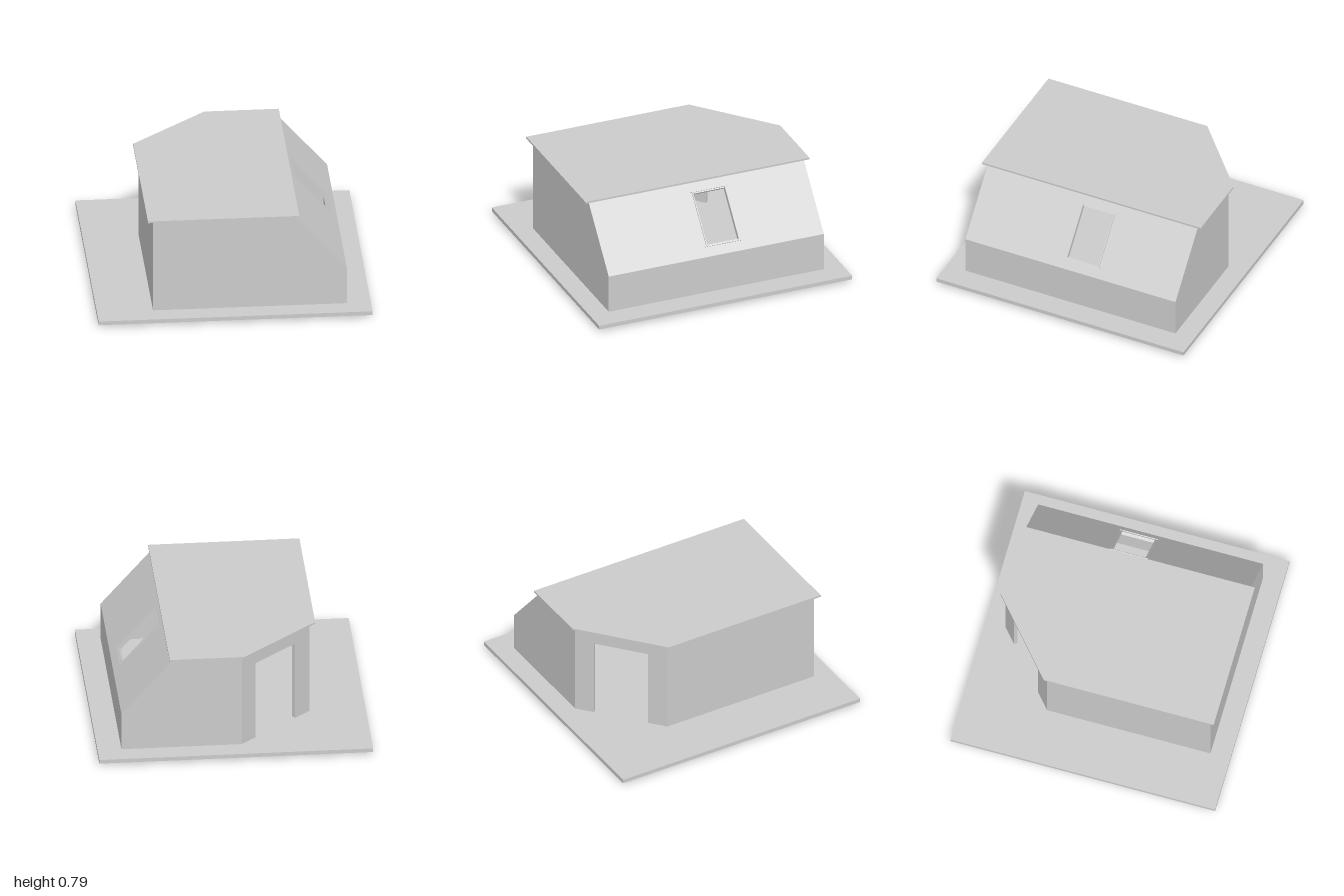
import * as THREE from 'three';

const T = 0.03;          // wall thickness
const H = 0.778;         // wall top
const mat = new THREE.MeshStandardMaterial({ color: 0xcccccc, flatShading: true, side: THREE.DoubleSide });

const outline = (pts) => pts.map(([x, y]) => new THREE.Vector2(x, y));

// Flat panel: outline in its own plane, outer face on the plane, thickness going inward.
function panel(name, pts, origin, right, up, depth = T, hole = null) {
  const shape = new THREE.Shape(outline(pts));
  if (hole) shape.holes.push(new THREE.Path(outline(hole)));
  const geo = new THREE.ExtrudeGeometry(shape, { depth, bevelEnabled: false });
  geo.translate(0, 0, -depth);
  const x = new THREE.Vector3(...right).normalize();
  const y = new THREE.Vector3(...up).normalize();
  const z = new THREE.Vector3().crossVectors(x, y);
  geo.applyMatrix4(new THREE.Matrix4().makeBasis(x, y, z).setPosition(...origin));
  const mesh = new THREE.Mesh(geo, mat);
  mesh.name = name;
  return mesh;
}

const rect = (x0, y0, x1, y1) => [[x0, y0], [x1, y0], [x1, y1], [x0, y1]];

export function createModel() {
  const model = new THREE.Group();
  model.name = 'house';
  const UP = [0, 1, 0];
  const W = -0.59, E = 0.825, Z = 0.85;       // outer wall lines
  const eave = 0.34, ridgeX = 0.443;          // bottom and top of the sloped side
  const cutX = -0.054, cutZ = -0.386;         // ends of the cut-off corner

  // Ground slab
  const slab = new THREE.Mesh(new THREE.BoxGeometry(2, 0.03, 2), mat);
  slab.position.y = 0.036;
  slab.name = 'groundSlab';
  model.add(slab);

  // Upright walls
  model.add(panel('frontWall', [[W, 0], [E, 0], [E, eave], [ridgeX, H], [W, H]], [0, 0, Z], [1, 0, 0], UP));
  model.add(panel('backWall', [[-E, 0], [-cutX, 0], [-cutX, H], [-ridgeX, H], [-E, eave]], [0, 0, -Z], [-1, 0, 0], UP));
  model.add(panel('longSideWall', rect(cutZ, 0, Z - T, H), [W, 0, 0], [0, 0, 1], UP));
  model.add(panel('lowSideWall', rect(-Z + T, 0, Z - T, eave), [E, 0, 0], [0, 0, -1], UP));

  // Corner wall with its doorway
  const len = Math.hypot(W - cutX, cutZ + Z);
  const d0 = 0.145, d1 = len - 0.15, doorTop = 0.665;
  model.add(panel('doorWall',
    [[0, 0], [d0, 0], [d0, doorTop], [d1, doorTop], [d1, 0], [len, 0], [len, H], [0, H]],
    [cutX, 0, -Z], [W - cutX, 0, cutZ + Z], UP));

  // Sloped side with a window opening
  const slopeUp = [ridgeX - E, H - eave, 0];
  const slopeLen = Math.hypot(...slopeUp);
  const onSlope = (name, pts, lift, depth, hole) => {
    const n = new THREE.Vector3(H - eave, E - ridgeX, 0).normalize().multiplyScalar(lift);
    return panel(name, pts, [E + n.x, eave + n.y, 0], [0, 0, -1], slopeUp, depth, hole);
  };
  const u0 = -0.05, u1 = 0.2, v0 = 0.09, v1 = 0.48;
  model.add(onSlope('slopedWall', rect(-Z + T, 0, Z - T, slopeLen), 0, 0.025, rect(u0, v0, u1, v1)));

  // Window frame: thin strips standing just proud of the slope
  const frame = new THREE.Group();
  frame.name = 'windowFrame';
  for (const u of [u0 - 0.007, u1]) frame.add(onSlope('frameSide', rect(u, v0 - 0.01, u + 0.007, v1 + 0.015), 0.008, 0.03));
  for (const v of [v0 - 0.016, v1 + 0.01]) frame.add(onSlope('frameRail', rect(u0 - 0.02, v, u1 + 0.02, v + 0.006), 0.008, 0.012));
  model.add(frame);

  // Flat roof following the plan, with a small overhang
  model.add(panel('roof',
    [[-0.63, -0.885], [0.475, -0.885], [0.475, 0.885], [-0.07, 0.885], [-0.63, 0.4]],
    [0, 0.79, 0], [1, 0, 0], [0, 0, -1], 0.014));

  return model;
}
